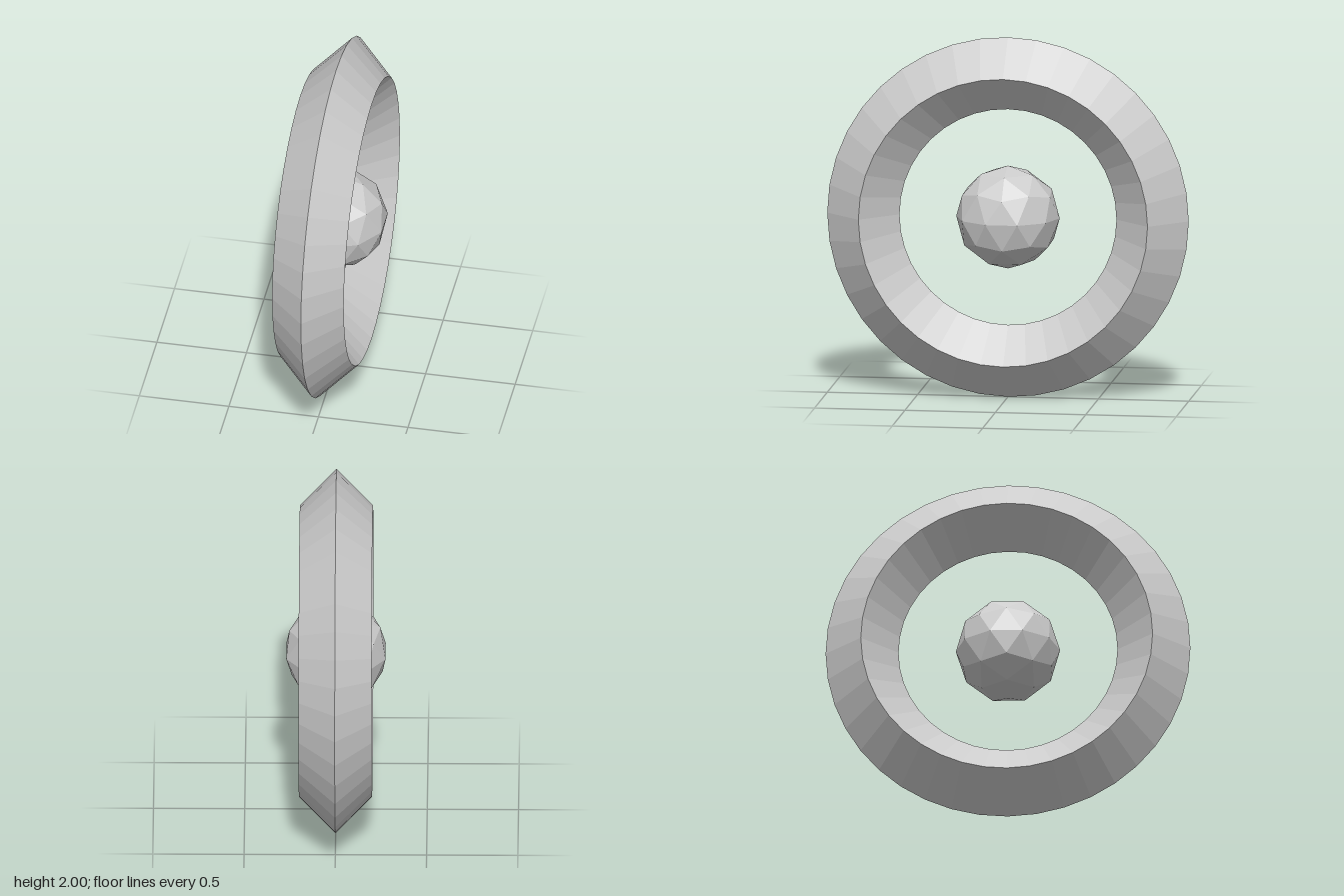
import * as THREE from 'three';

export function createModel() {
  const model = new THREE.Group();
  const material = new THREE.MeshStandardMaterial({ color: 0xcccccc, flatShading: true });

  const add = (name, geometry) => {
    const mesh = new THREE.Mesh(geometry, material);
    mesh.name = name;
    mesh.position.y = 1;
    model.add(mesh);
  };

  // Upright ring with a diamond cross-section, its axis along x
  add('ring', new THREE.TorusGeometry(0.8, 0.2, 4, 40).rotateY(Math.PI / 2));

  // Faceted ball floating in the middle, tilted so a corner points straight up
  const goldenRatio = (1 + Math.sqrt(5)) / 2;
  add('coreBall', new THREE.IcosahedronGeometry(0.286, 1).rotateZ(-Math.atan(1 / goldenRatio)));

  return model;
}
